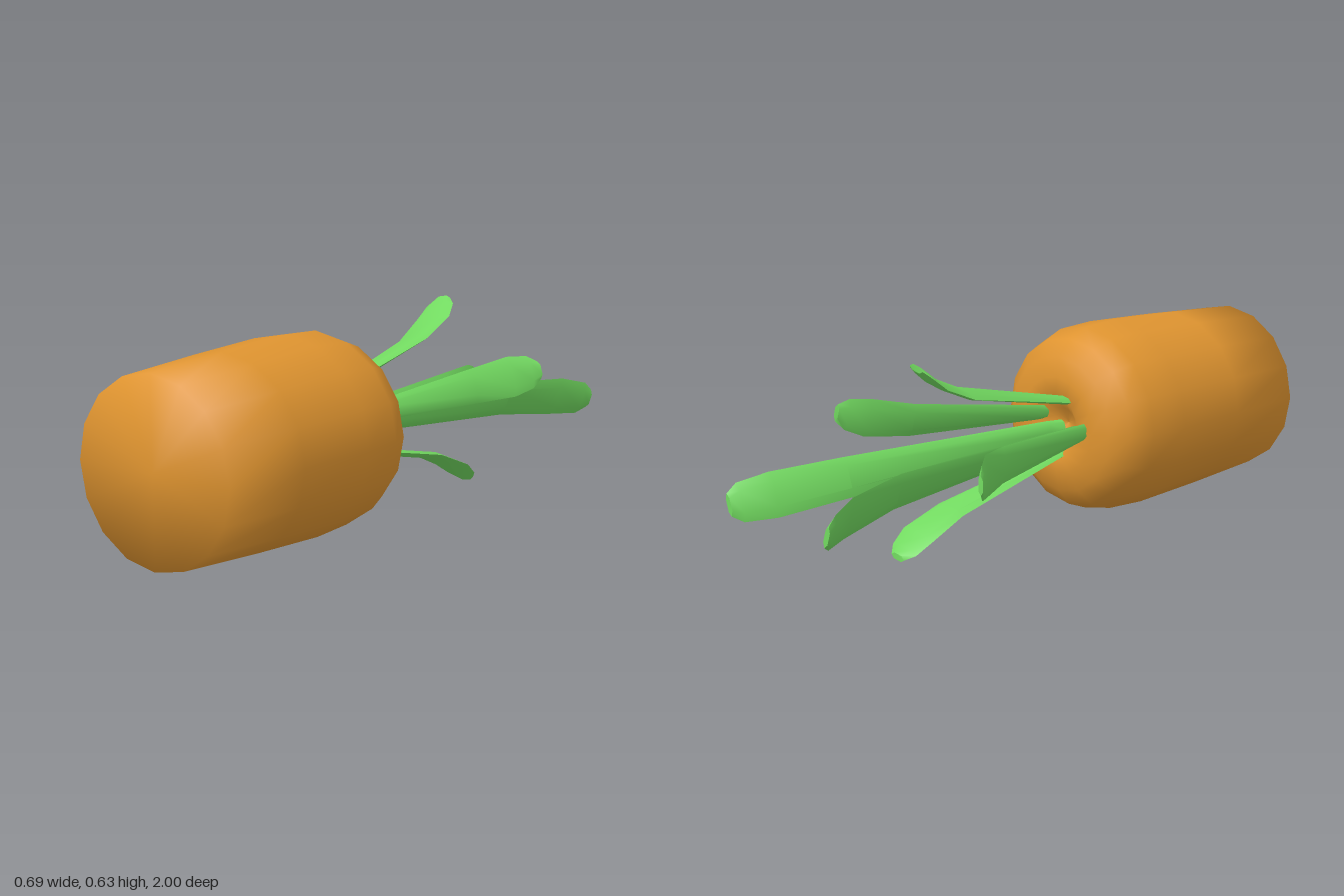
import * as THREE from 'three';
import { toCreasedNormals } from 'three/addons/utils/BufferGeometryUtils.js';

// Lens-shaped blade lofted along stations [z, radial distance, width],
// fanning out from the crown at the given angle (degrees) around the z axis.
function leafGeometry(angle, stations, thickness, spread) {
  const a = THREE.MathUtils.degToRad(angle);
  const c = Math.cos(a), s = Math.sin(a);
  const section = [[0, -0.5], [0.5, -0.28], [0.5, 0.28], [0, 0.5], [-0.5, 0.28], [-0.5, -0.28]];
  const n = section.length;
  const pos = [], index = [];
  stations.forEach(([z, r, w]) => {
    for (const [h, t] of section) {
      const radial = r * spread + h * thickness, side = t * w;
      pos.push(radial * c - side * s, radial * s + side * c, z);
    }
  });
  const last = (stations.length - 1) * n;
  for (let i = 0; i < last; i += n) {
    for (let j = 0; j < n; j++) {
      const k = (j + 1) % n;
      index.push(i + j, i + n + j, i + k, i + k, i + n + j, i + n + k);
    }
  }
  // end caps
  for (let j = 1; j < n - 1; j++) {
    index.push(0, j, j + 1, last, last + j + 1, last + j);
  }
  const g = new THREE.BufferGeometry();
  g.setAttribute('position', new THREE.Float32BufferAttribute(pos, 3));
  g.setIndex(index);
  return toCreasedNormals(g, 0.7);
}

export function createModel() {
  const orange = new THREE.MeshStandardMaterial({ color: 0xdf9430 });
  orange.name = 'root orange';
  const green = new THREE.MeshStandardMaterial({ color: 0x72da60 });
  green.name = 'leaf green';
  const model = new THREE.Group();
  model.name = 'carrot';

  // Root: turned profile [radius, z] from the crown pit to the flat cut end
  const profile = [
    [0, 0.2], [0.05, 0.18], [0.1, 0.137], [0.16, 0.142], [0.225, 0.155],
    [0.28, 0.2], [0.308, 0.275], [0.315, 0.42], [0.303, 0.7], [0.285, 1], [0, 1],
  ].map(([r, z]) => new THREE.Vector2(r, z));
  const root = new THREE.Mesh(new THREE.LatheGeometry(profile, 16).rotateX(Math.PI / 2), orange);
  root.name = 'root';
  root.position.set(0.025, 0.32, 0);
  model.add(root);

  // Leaves: four short ones curling outward and two long ones
  const shortLeaf = [
    [0.19, 0.09, 0.045], [0.13, 0.1, 0.055], [-0.32, 0.205, 0.115],
    [-0.45, 0.265, 0.135], [-0.5, 0.305, 0.11], [-0.525, 0.325, 0.06],
  ];
  const longLeaf = [
    [0.19, 0.045, 0.045], [0.13, 0.05, 0.055], [-0.65, 0.125, 0.125],
    [-0.88, 0.19, 0.14], [-0.97, 0.235, 0.12], [-1, 0.25, 0.07],
  ];
  const crown = new THREE.Group();
  crown.name = 'leaves';
  crown.position.set(0, 0.32, 0);
  const leaves = [
    ['leftLeaf', 17, shortLeaf, 1.06],
    ['topLeaf', 101, shortLeaf, 0.95],
    ['rightLeaf', 180, shortLeaf, 1.04],
    ['bottomLeaf', 278, shortLeaf, 0.95],
    ['longLeftLeaf', -19, longLeaf, 1.02],
    ['longRightLeaf', 199, longLeaf, 0.95],
  ];
  for (const [name, angle, stations, spread] of leaves) {
    const leaf = new THREE.Mesh(leafGeometry(angle, stations, 0.02, spread), green);
    leaf.name = name;
    crown.add(leaf);
  }
  model.add(crown);
  return model;
}
